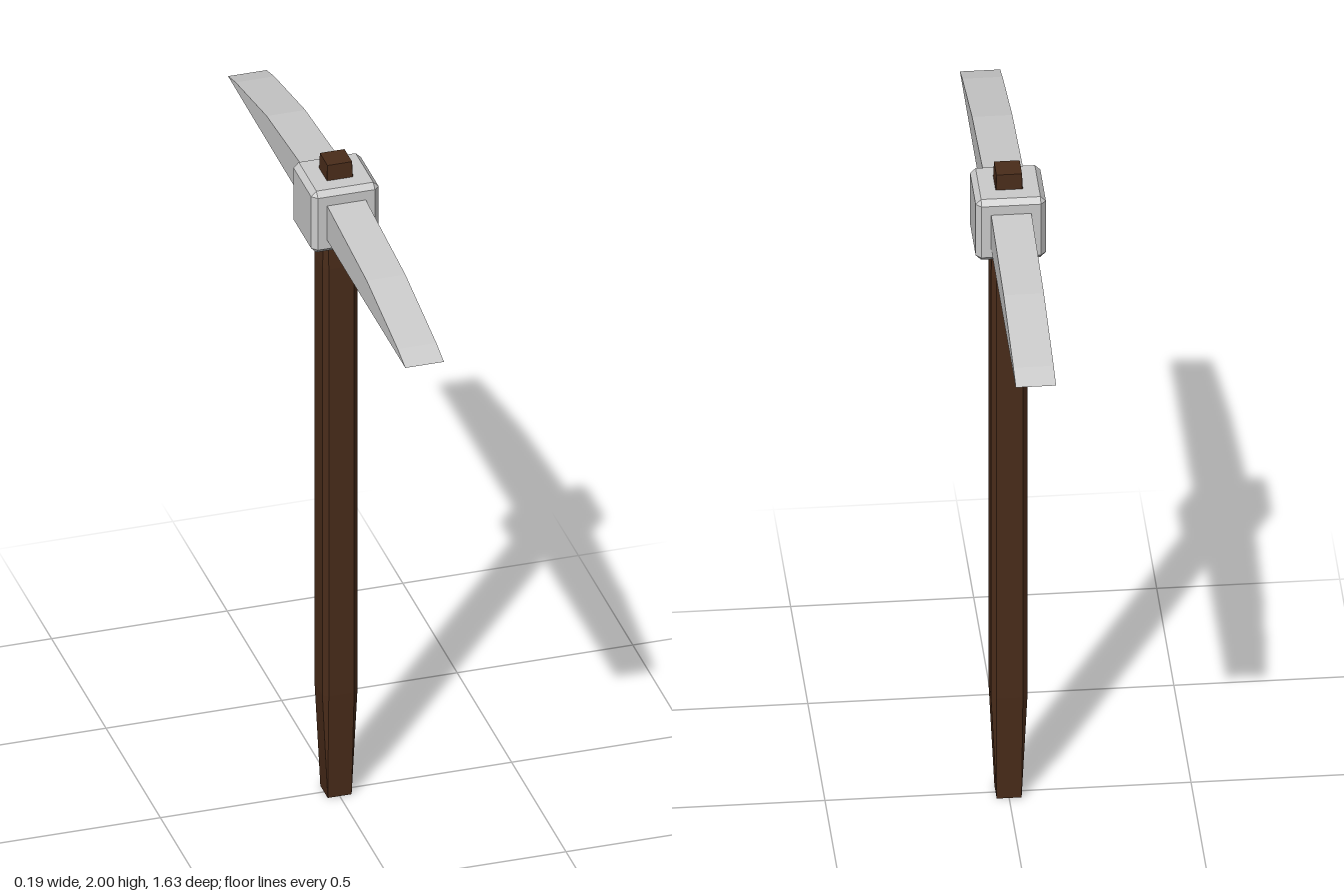
import * as THREE from 'three';
import { ConvexGeometry } from 'three/addons/geometries/ConvexGeometry.js';

const wood = new THREE.MeshStandardMaterial({ color: 0x4a2c1a, flatShading: true });
const metal = new THREE.MeshStandardMaterial({ color: 0xcccccc, flatShading: true });

// Square cross-section at height y; corners are chamfered when flat < half
function section(y, half, flat = half) {
  const points = [];
  for (const sx of [-1, 1]) for (const sz of [-1, 1]) {
    points.push(new THREE.Vector3(sx * half, y, sz * flat));
    if (flat < half) points.push(new THREE.Vector3(sx * flat, y, sz * half));
  }
  return points;
}

function addMesh(group, name, geometry, material) {
  const mesh = new THREE.Mesh(geometry, material);
  mesh.name = name;
  group.add(mesh);
  return mesh;
}

export function createModel() {
  const model = new THREE.Group();
  model.name = 'pickaxe';

  // Chamfered shaft tapering to a square at both ends
  addMesh(model, 'handle', new ConvexGeometry([
    ...section(0, 0.034),
    ...section(0.33, 0.05, 0.036),
    ...section(1.68, 0.05, 0.036),
    ...section(2, 0.035),
  ]), wood);

  // Bevelled block that clamps the blade to the handle
  const outer = 0.096, bevel = 0.015, inner = outer - bevel;
  addMesh(model, 'headBlock', new ConvexGeometry([
    ...section(1.76, inner),
    ...section(1.76 + bevel, outer, inner),
    ...section(1.953 - bevel, outer, inner),
    ...section(1.953, inner),
  ]), metal);

  // Curved double blade: side profile mirrored about the handle, extruded in width
  const arc = [[0.815, 1.805], [0.745, 1.825], [0.46, 1.88], [0.1, 1.91]];
  const mirrored = arc.map(([z, y]) => [-z, y]).reverse();
  const profile = [...arc, ...mirrored, [-0.3, 1.802], [0.3, 1.802]]
    .map(([z, y]) => new THREE.Vector2(z, y));
  const width = 0.11;
  const blade = new THREE.ExtrudeGeometry(new THREE.Shape(profile), { depth: width, bevelEnabled: false });
  blade.translate(0, 0, -width / 2);
  blade.rotateY(-Math.PI / 2);
  addMesh(model, 'blade', blade, metal);

  return model;
}
